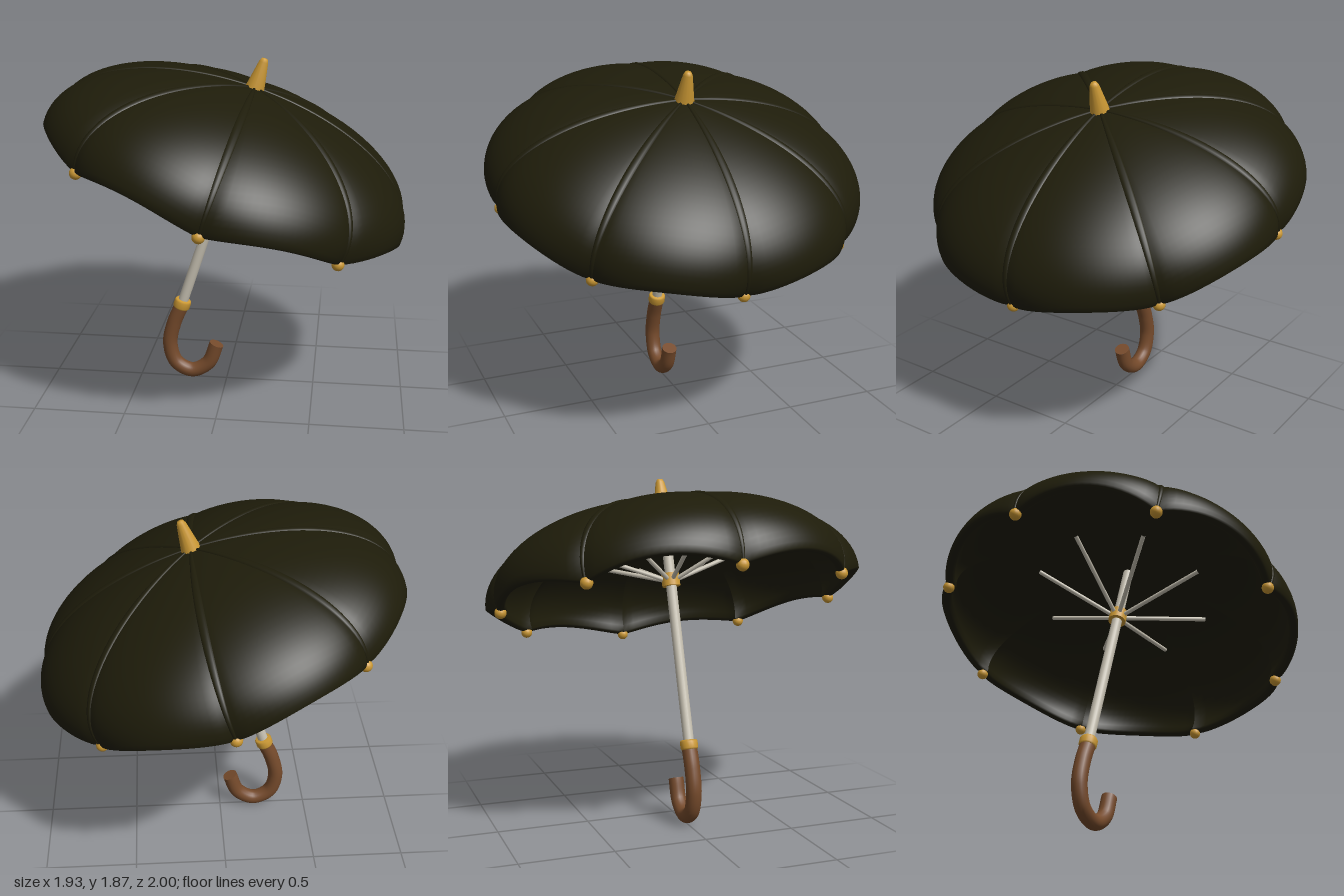
import * as THREE from 'three';

const RIBS = 8;
const STEP = (Math.PI * 2) / RIBS;
const WIDE = 0.978;   // widest canopy radius at the ribs
const WAIST = 0.065;  // height of the widest ring above the rim
const RISE = 0.475;   // canopy height above the widest ring
const THICK = 0.05;   // padded cloth thickness
const SCALLOP = 0.065;

const mat = (name, color) => {
  const m = new THREE.MeshStandardMaterial({ color });
  m.name = name;
  return m;
};

// Angle from the apex at which the canopy profile reaches a given height
const angleAt = (y) => Math.acos((y - WAIST) / RISE);

// One padded panel between two ribs: down the outside, round the arched hem, up the inside
function panelGeometry() {
  const g = new THREE.PlaneGeometry(1, 1, 20, 50);
  const p = g.attributes.position, uv = g.attributes.uv;
  for (let i = 0; i < p.count; i++) {
    const across = 1 - uv.getX(i), down = 1 - uv.getY(i);
    const arch = Math.max(0, Math.sin(across * Math.PI));
    const depth = THREE.MathUtils.clamp((down - 0.5) / 0.1, 0, 1);
    const reach = Math.min(1, down / 0.5, (1 - down) / 0.4);
    const phi = 0.02 + reach * (angleAt(SCALLOP * arch) - 0.02);
    const puff = 1 + 0.045 * Math.pow(arch, 0.6) * Math.sin(phi);
    const r = (WIDE - THICK * depth) * Math.sin(phi) * puff;
    const y = WAIST + (RISE - THICK * depth) * Math.cos(phi) * puff - 0.015 * Math.sin(Math.PI * depth);
    const a = across * STEP;
    p.setXYZ(i, r * Math.cos(a), y, r * Math.sin(a));
  }
  g.computeVertexNormals();
  return g;
}

// Rib seam: a flattened tube along the canopy, wide in the middle and narrow at both ends
function ribGeometry() {
  const pts = [];
  for (let i = 0; i <= 12; i++) {
    const phi = 0.04 + (i / 12) * (angleAt(0) - 0.04);
    pts.push(new THREE.Vector3(WIDE * Math.sin(phi), WAIST + RISE * Math.cos(phi), 0));
  }
  const curve = new THREE.CatmullRomCurve3(pts);
  const rings = 32, sides = 12;
  const g = new THREE.TubeGeometry(curve, rings, 1, sides);
  const p = g.attributes.position, v = new THREE.Vector3();
  for (let i = 0; i < p.count; i++) {
    const t = Math.floor(i / (sides + 1)) / rings;
    const c = curve.getPointAt(t);
    const swell = Math.sin(Math.PI * t);
    const high = 0.008 + 0.004 * swell, broad = 0.008 + 0.016 * swell;
    v.fromBufferAttribute(p, i).sub(c);
    p.setXYZ(i, c.x + v.x * high, c.y + v.y * high, c.z + v.z * broad);
  }
  g.computeVertexNormals();
  return g;
}

export function createModel() {
  const cloth = mat('dark olive cloth', 0x1e1c0a);
  cloth.side = THREE.DoubleSide;
  const brass = mat('brass', 0xcc9934);
  const steel = mat('pale steel', 0xc6c0b1);
  const wood = mat('brown wood', 0x754a2b);

  const umbrella = new THREE.Group();
  umbrella.name = 'umbrella';
  const add = (name, geometry, material, parent = umbrella) => {
    const m = new THREE.Mesh(geometry, material);
    m.name = name;
    parent.add(m);
    return m;
  };
  const lathe = (pairs, sides) =>
    new THREE.LatheGeometry(pairs.map(([r, y]) => new THREE.Vector2(r, y)), sides);

  // Canopy, ribs, rib tips and stretchers, repeated around the shaft
  const panel = panelGeometry();
  const rib = ribGeometry();
  const tip = new THREE.SphereGeometry(0.032, 16, 12);
  const stretcher = new THREE.TubeGeometry(
    new THREE.LineCurve3(new THREE.Vector3(0.03, 0.13, 0), new THREE.Vector3(0.5, 0.3, 0)), 1, 0.012, 8);
  for (let i = 0; i < RIBS; i++) {
    const section = new THREE.Group();
    section.name = 'canopySection';
    section.rotation.y = i * STEP;
    add('canopyPanel', panel, cloth, section);
    add('rib', rib, cloth, section);
    add('ribTip', tip, brass, section).position.set(0.957, -0.009, 0);
    add('stretcher', stretcher, steel, section);
    umbrella.add(section);
  }

  // Shaft, runner and collar
  add('shaft', new THREE.CylinderGeometry(0.029, 0.029, 1.32, 20), steel).position.y = -0.13;
  add('runner', new THREE.CylinderGeometry(0.05, 0.05, 0.07, 20), brass).position.y = 0.13;
  add('collar', lathe([[0, -0.806], [0.042, -0.806], [0.048, -0.796], [0.048, -0.762],
    [0.042, -0.752], [0, -0.752]], 20), brass);

  // Tapered spike on top
  add('ferrule', lathe([[0.055, 0.505], [0.052, 0.54], [0.025, 0.685], [0.016, 0.702], [0, 0.705]], 14), brass);

  // Hooked handle along a smooth curve, closed by a flat end
  const path = new THREE.CatmullRomCurve3([
    [0, -0.79], [-0.009, -0.907], [0.007, -1.038], [0.076, -1.138],
    [0.18, -1.153], [0.253, -1.075], [0.262, -0.947],
  ].map(([x, y]) => new THREE.Vector3(x, y, 0)));
  add('handle', new THREE.TubeGeometry(path, 48, 0.042, 18), wood);
  const cap = add('handleEnd', new THREE.CircleGeometry(0.042, 18), wood);
  cap.position.copy(path.getPoint(1));
  cap.quaternion.setFromUnitVectors(new THREE.Vector3(0, 0, 1), path.getTangent(1));

  // Lean the whole umbrella towards its left
  umbrella.rotation.z = -Math.PI / 10;
  umbrella.position.set(-0.015, 1.19, 0);

  const model = new THREE.Group();
  model.name = 'openUmbrella';
  model.add(umbrella);
  return model;
}
